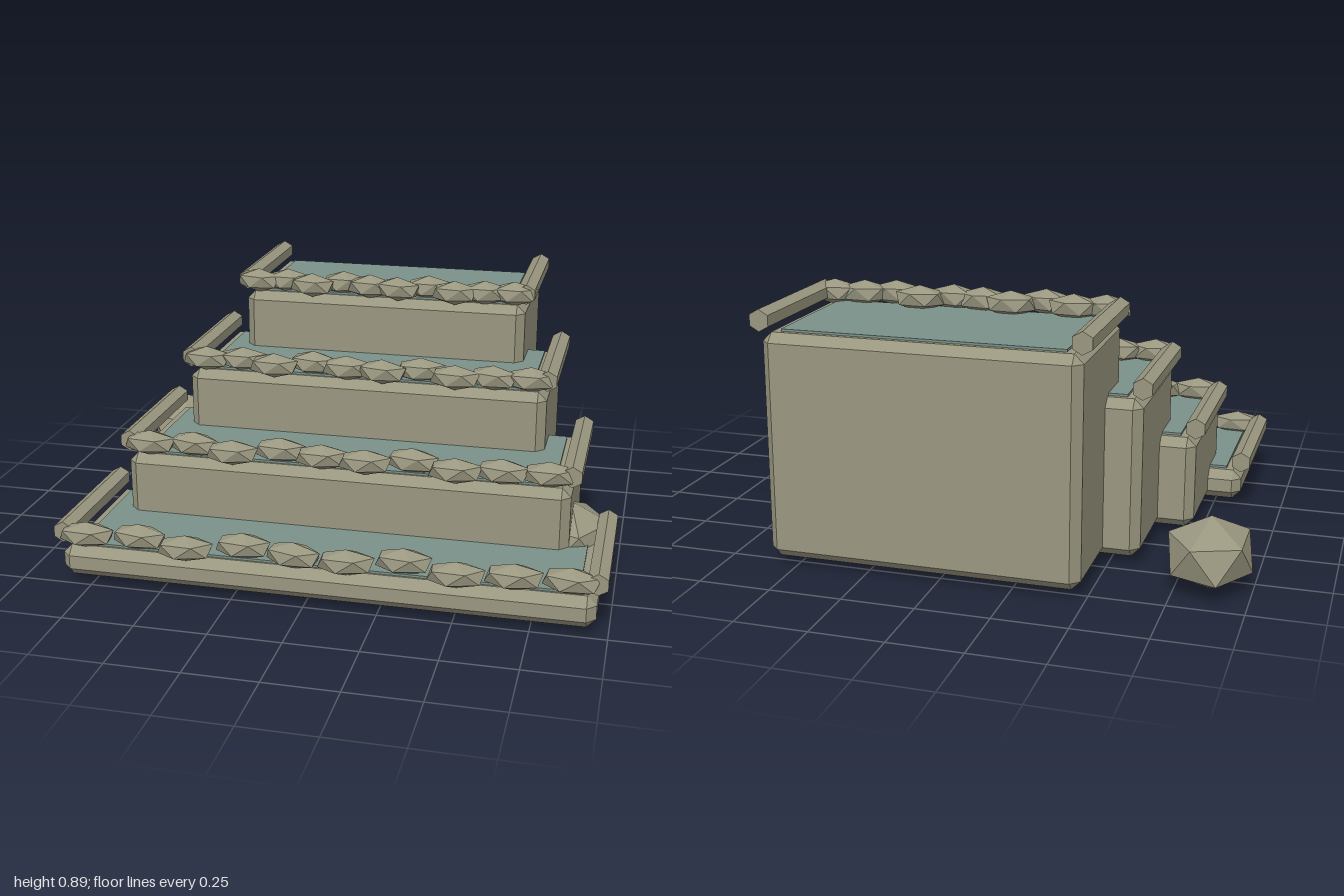
import * as THREE from 'three';
import { ConvexGeometry } from 'three/addons/geometries/ConvexGeometry.js';

const CX = 0.055; // the terraces share this centre line

// Box with every edge cut at 45 degrees
function chamferBox(w, h, d, c) {
  const pts = [];
  for (const sx of [-1, 1]) for (const sy of [-1, 1]) for (const sz of [-1, 1]) {
    const x = w / 2, y = h / 2, z = d / 2;
    pts.push(
      new THREE.Vector3(sx * x, sy * (y - c), sz * (z - c)),
      new THREE.Vector3(sx * (x - c), sy * y, sz * (z - c)),
      new THREE.Vector3(sx * (x - c), sy * (y - c), sz * z));
  }
  return new ConvexGeometry(pts);
}

// Icosahedron standing on one of its points
function rockGeometry(rx, ry, rz) {
  const g = new THREE.IcosahedronGeometry(1, 0);
  g.rotateZ(-Math.atan2(1, (1 + Math.sqrt(5)) / 2));
  g.scale(rx, ry, rz);
  g.computeVertexNormals();
  return g;
}

export function createModel() {
  const stone = new THREE.MeshStandardMaterial({ color: 0x9a9780, flatShading: true });
  stone.name = 'stone';
  const water = new THREE.MeshStandardMaterial({ color: 0x7a9189 });
  water.name = 'water';

  const model = new THREE.Group();
  model.name = 'terracedPools';
  const add = (parent, name, geometry, material, x, y, z) => {
    const mesh = new THREE.Mesh(geometry, material);
    mesh.name = name;
    mesh.position.set(x, y, z);
    parent.add(mesh);
    return mesh;
  };

  // Terraces from the lowest at the front to the highest at the back
  const terraces = [
    { half: 0.905, top: 0.14, z: 0.48, row: 0.82, rock: 0.106 },
    { half: 0.785, top: 0.36, z: 0.14, row: 0.708, rock: 0.103 },
    { half: 0.66, top: 0.582, z: -0.193, row: 0.6, rock: 0.1 },
    { half: 0.537, top: 0.805, z: -0.525, row: 0.492, rock: 0.095 },
  ];
  const base = 0.03, depth = 0.565, rimRadius = 0.0375;
  const wobble = [0, -0.02, 0.032, -0.03, 0.003, 0.018, -0.033, 0.028, 0, -0.01];
  const yaw = [0.1, -0.05, 0.12, 0.05, -0.12, 0.12, 0.03, 0.12, 0.08, -0.08];

  const rail = new THREE.CylinderGeometry(rimRadius, rimRadius, 0.53, 6);
  rail.rotateX(Math.PI / 2);

  terraces.forEach((t, i) => {
    const terrace = new THREE.Group();
    terrace.name = 'terrace' + (i + 1);
    model.add(terrace);

    // Stone block and its sheet of water
    const h = t.top - base;
    add(terrace, 'block', chamferBox(t.half * 2, h, depth, 0.031), stone, CX, base + h / 2, t.z);
    add(terrace, 'waterSurface', new THREE.BoxGeometry(t.half * 2 - 0.115, 0.009, depth - 0.085),
      water, CX, t.top + 0.0035, t.z + 0.005);

    // Side rails
    const rimY = t.top + 0.041;
    for (const s of [-1, 1]) {
      add(terrace, s > 0 ? 'leftRail' : 'rightRail', rail, stone, CX + s * t.half, rimY, t.z - 0.013);
    }

    // Row of rocks along the front lip
    const rock = rockGeometry(t.rock, 0.046, 0.054);
    for (let k = 0; k < 10; k++) {
      const x = CX + t.row * (k / 4.5 - 1);
      const m = add(terrace, 'lipRock', rock, stone, x, rimY - 0.002, t.z + 0.247 + wobble[k]);
      m.rotation.y = yaw[(k + i * 3) % 10];
    }
  });

  // Loose boulders beside the terraces
  const boulder = rockGeometry(0.155, 0.125, 0.185);
  add(model, 'rightBoulder', boulder, stone, -0.86, 0.127, -0.57);
  add(model, 'leftBoulder', boulder, stone, 0.83, 0.127, 0.235);

  return model;
}
